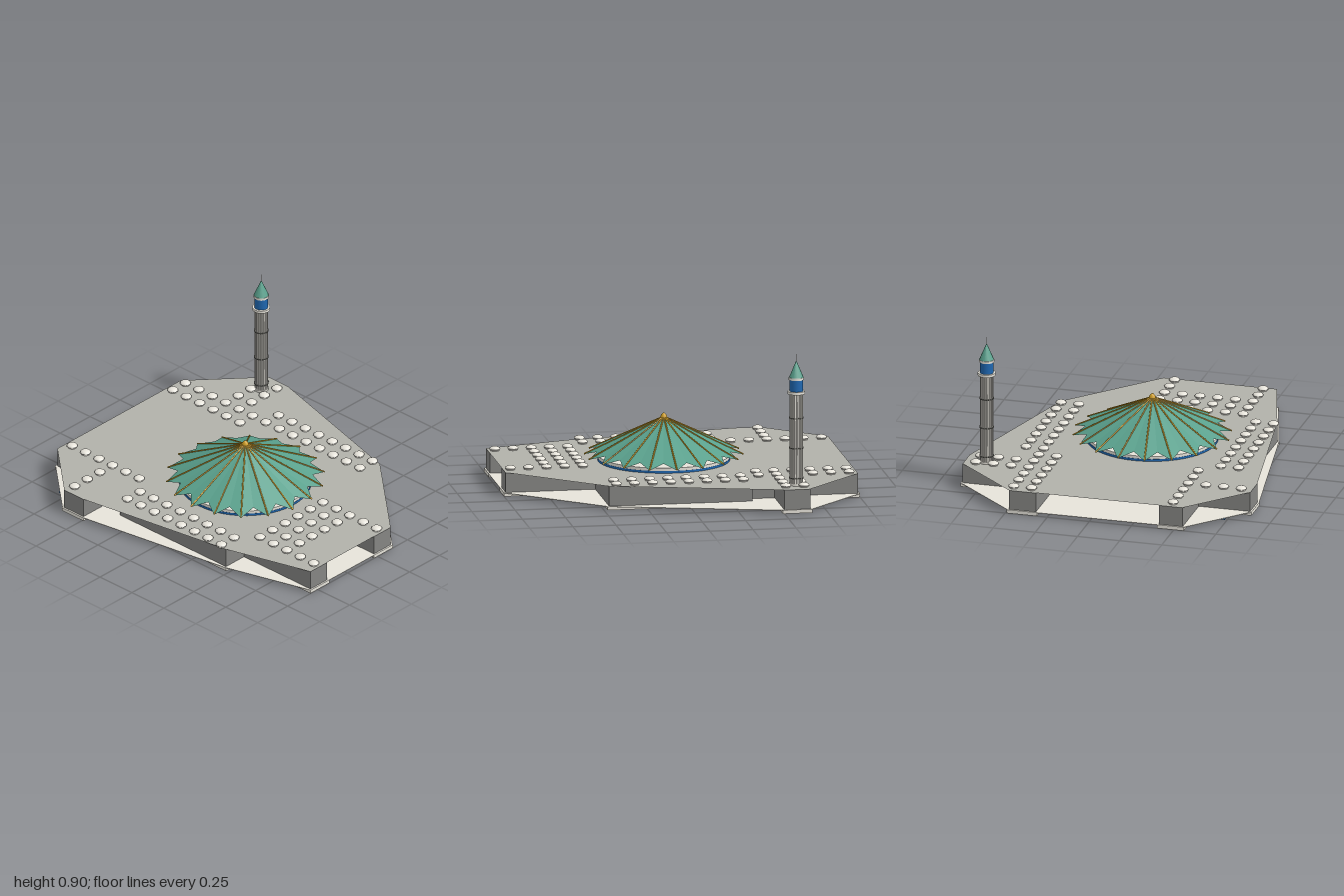
import * as THREE from 'three';

const material = (name, color, side = THREE.FrontSide) => {
  const m = new THREE.MeshStandardMaterial({ color, side });
  m.name = name;
  return m;
};

export function createModel() {
  const group = new THREE.Group();
  const wall = material('grey wall', 0x858583);
  const roofGrey = material('roof grey', 0xb1b1aa, THREE.DoubleSide);
  const stone = material('pale stone', 0xe6e3da);
  const teal = material('teal', 0x5aa18d, THREE.DoubleSide);
  const blue = material('blue', 0x1f67b0);
  const gold = material('gold', 0xd2a024);
  const dark = material('dark band', 0x6a6a64);

  const add = (name, geometry, mat, x = 0, y = 0, z = 0, parent = group) => {
    const mesh = new THREE.Mesh(geometry, mat);
    mesh.name = name;
    mesh.position.set(x, y, z);
    parent.add(mesh);
    return mesh;
  };

  // Plans are [x, z] pairs, counterclockwise seen from above
  const toPlan = (list) => list.map(([x, z]) => new THREE.Vector2(x, -z));
  const footprint = toPlan([
    [-0.55, 0.99], [-0.41, 0.99], [-0.41, 0.8], [-0.02, 0.8], [-0.02, 0.99], [0.12, 0.99],
    [0.12, 0.47], [0.585, 0.47], [0.585, -0.36], [0.52, -0.36], [0.52, -0.5], [0.85, -0.5],
    [0.85, -0.65], [0.48, -0.65], [0.48, -0.99], [0.32, -0.99], [0.32, -0.42], [-0.41, -0.42],
    [-0.41, -0.99], [-0.55, -0.99], [-0.55, -0.65], [-0.855, -0.65], [-0.855, -0.5],
    [-0.55, -0.5], [-0.55, -0.36], [-0.7, -0.36], [-0.7, 0.47], [-0.55, 0.47],
  ]);
  const hull = toPlan([
    [-0.55, 0.99], [0.12, 0.99], [0.585, 0.47], [0.85, -0.5], [0.85, -0.65], [0.48, -0.99],
    [-0.55, -0.99], [-0.855, -0.65], [-0.855, -0.5], [-0.7, 0.47],
  ]);
  // Push a plan outwards by d
  const grow = (plan, d) => plan.map((p, i) => {
    const n = plan.length;
    const a = p.clone().sub(plan[(i + n - 1) % n]).normalize();
    const b = plan[(i + 1) % n].clone().sub(p).normalize();
    const k = d / (1 + a.dot(b));
    return new THREE.Vector2(p.x + (a.y + b.y) * k, p.y - (a.x + b.x) * k);
  });
  const slab = (plan, h) => new THREE.ExtrudeGeometry(new THREE.Shape(plan), { depth: h, bevelEnabled: false })
    .rotateX(-Math.PI / 2);

  // Building: floor, plinth, walls, overhanging flat roof
  const TOP = 0.137;
  add('floor', slab(grow(hull, 0.01), 0.003), stone, 0, 0.018, 0);
  add('plinth', slab(grow(footprint, 0.01), 0.02), stone);
  add('walls', slab(footprint, TOP - 0.021), wall, 0, 0.02, 0);
  add('roof', new THREE.ShapeGeometry(new THREE.Shape(hull)).rotateX(-Math.PI / 2), roofGrey, 0, TOP, 0);

  // Blue panels under the courts and the tower foot
  add('backPool', new THREE.BoxGeometry(0.26, 0.006, 0.25), blue, 0.18, 0.0145, -0.85);
  add('sidePool', new THREE.BoxGeometry(0.15, 0.006, 0.11), blue, -0.67, 0.0145, -0.74);
  add('towerFoot', new THREE.CylinderGeometry(0.083, 0.083, 0.02, 24), blue, 0.725, 0.0095, -0.59);

  // Small roof domes on a regular pitch
  const P = 0.105;
  const drumGeo = new THREE.CylinderGeometry(0.026, 0.026, 0.012, 10);
  const capGeo = new THREE.SphereGeometry(0.032, 10, 4, 0, Math.PI * 2, 0, Math.PI / 2).scale(1, 0.5, 1);
  const lipGeo = new THREE.CylinderGeometry(0.032, 0.026, 0.005, 10);
  const dome = (x, z) => {
    const g = new THREE.Group();
    g.name = 'smallDome';
    g.position.set(x, TOP, z);
    add('drum', drumGeo, stone, 0, 0.004, 0, g);
    add('lip', lipGeo, stone, 0, 0.0075, 0, g);
    add('cap', capGeo, stone, 0, 0.0095, 0, g);
    group.add(g);
  };
  const block = (x0, nx, z0, nz) => {
    for (let i = 0; i < nx; i++) for (let j = 0; j < nz; j++) dome(x0 + i * P, z0 + j * P);
  };
  block(-0.48, 1, -0.94, 6);
  block(-0.795, 3, -0.625, 1);
  block(0.36, 2, -0.94, 6);
  block(0.57, 3, -0.625, 2);
  block(-0.69, 2, -0.31, 8);
  block(0.465, 2, -0.31, 8);
  block(-0.48, 6, 0.53, 3);
  block(-0.48, 1, 0.845, 2);
  block(0.045, 1, 0.845, 2);

  // Main pleated canopy with gold ribs
  const hall = new THREE.Group();
  hall.name = 'mainDome';
  hall.position.set(-0.08, 0, 0.04);
  group.add(hall);
  add('blueBand', new THREE.CylinderGeometry(0.378, 0.378, 0.013, 48), blue, 0, TOP + 0.0065, 0, hall);
  add('drum', new THREE.CylinderGeometry(0.376, 0.376, 0.017, 48), stone, 0, TOP + 0.0215, 0, hall);

  const SPIKES = 18;
  const apex = new THREE.Vector3(0, 0.388, 0);
  const rim = (i) => {
    const a = (i / SPIKES) * Math.PI;
    const [r, y] = i % 2 ? [0.386, 0.195] : [0.455, 0.168];
    return new THREE.Vector3(Math.cos(a) * r, y, Math.sin(a) * r);
  };
  const pts = [];
  for (let i = 0; i < SPIKES * 2; i++) pts.push(apex, rim(i + 1), rim(i));
  const canopy = new THREE.BufferGeometry().setFromPoints(pts);
  canopy.computeVertexNormals();
  add('canopy', canopy, teal, 0, 0, 0, hall);
  for (let i = 0; i < SPIKES; i++) {
    const path = new THREE.LineCurve3(apex, rim(i * 2));
    add('rib', new THREE.TubeGeometry(path, 1, 0.0045, 6), gold, 0, 0.001, 0, hall);
  }
  add('finial', new THREE.LatheGeometry([[0.02, 0.375], [0.018, 0.393], [0.009, 0.406], [0, 0.412]]
    .map(([r, y]) => new THREE.Vector2(r, y)), 12), gold, 0, 0, 0, hall);

  // Tower
  const tower = new THREE.Group();
  tower.name = 'tower';
  tower.position.set(0.725, 0, -0.59);
  group.add(tower);
  const ring = (name, r0, r1, y0, y1, mat, sides = 24) =>
    add(name, new THREE.CylinderGeometry(r1, r0, y1 - y0, sides), mat, 0, (y0 + y1) / 2, 0, tower);
  ring('base', 0.042, 0.042, TOP, 0.15, stone);
  ring('shaft', 0.034, 0.034, TOP, 0.675, stone);
  const flute = new THREE.CylinderGeometry(0.005, 0.005, 0.675 - TOP, 6);
  for (let i = 0; i < 16; i++) {
    const a = (i / 16) * Math.PI * 2;
    add('flute', flute, stone, Math.cos(a) * 0.034, (0.675 + TOP) / 2, Math.sin(a) * 0.034, tower);
  }
  for (const y of [0.18, 0.355, 0.53]) ring('band', 0.042, 0.042, y - 0.003, y + 0.003, dark);
  ring('balcony', 0.051, 0.051, 0.67, 0.686, stone);
  ring('lantern', 0.039, 0.039, 0.686, 0.752, blue);
  ring('crownRing', 0.044, 0.044, 0.752, 0.766, stone);
  ring('spire', 0.042, 0.001, 0.766, 0.862, teal, 12);
  ring('needle', 0.002, 0.001, 0.855, 0.9, stone, 6);

  return group;
}
